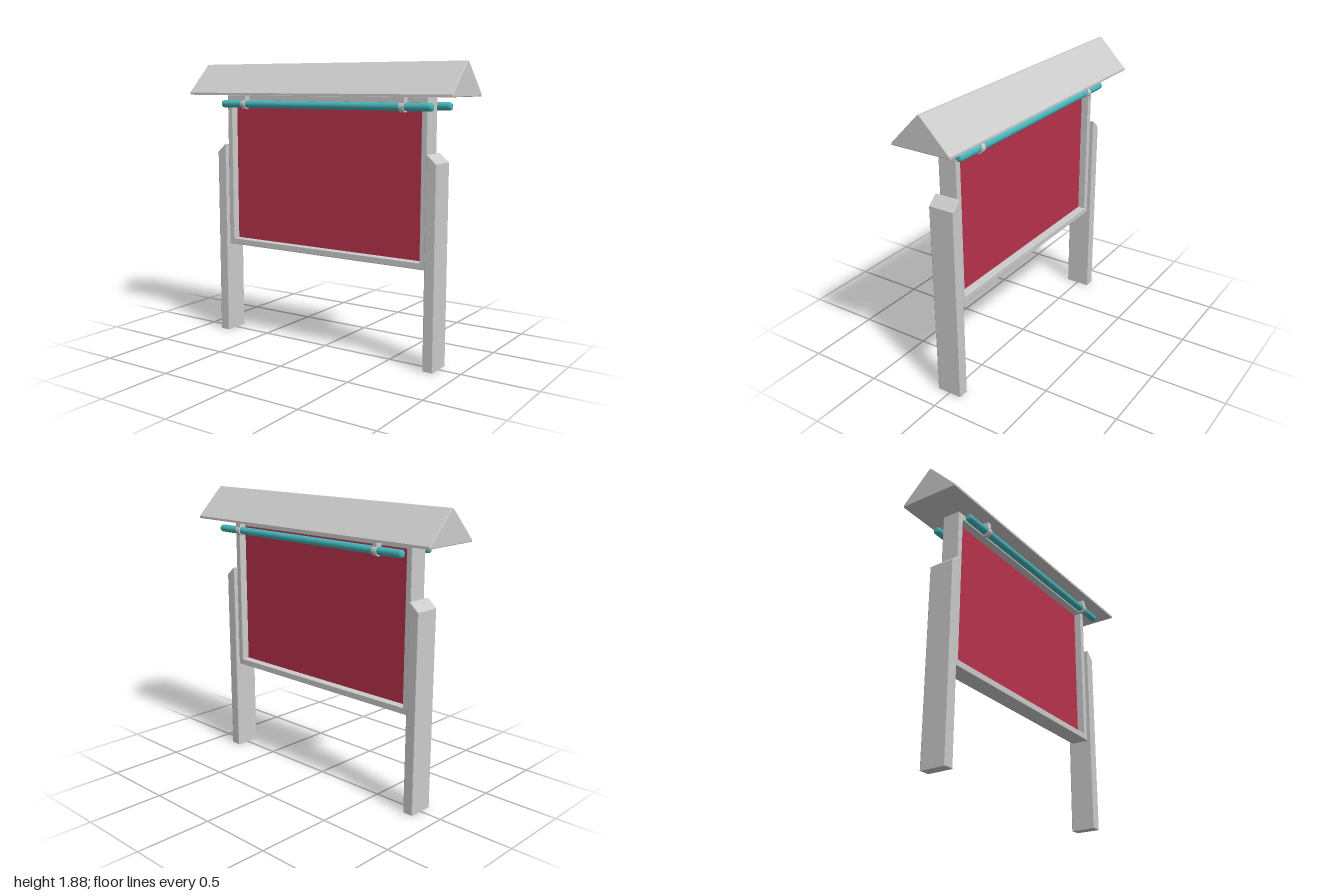
import * as THREE from 'three';

const grey = new THREE.MeshStandardMaterial({ color: 0xcccccc });
const red = new THREE.MeshStandardMaterial({ color: 0xb8324c });
const teal = new THREE.MeshStandardMaterial({ color: 0x45b5ba });

// Prism with finely bevelled edges, centred on z, keeping its outer size
function bevelledPrism(points, depth, bevel, hole) {
  const toVectors = (list) => list.map(([x, y]) => new THREE.Vector2(x, y));
  const shape = new THREE.Shape(toVectors(points));
  if (hole) shape.holes.push(new THREE.Path(toVectors(hole)));
  const geometry = new THREE.ExtrudeGeometry(shape, {
    depth: depth - 2 * bevel,
    bevelEnabled: true,
    bevelThickness: bevel,
    bevelSize: bevel,
    bevelOffset: -bevel,
    bevelSegments: 2,
  });
  return geometry.translate(0, 0, bevel - depth / 2);
}

const rectangle = (x, y0, y1) => [[-x, y0], [x, y0], [x, y1], [-x, y1]];

export function createModel() {
  const model = new THREE.Group();
  model.name = 'noticeBoard';

  const add = (name, geometry, material, x = 0, y = 0, z = 0, parent = model) => {
    const mesh = new THREE.Mesh(geometry, material);
    mesh.name = name;
    mesh.position.set(x, y, z);
    parent.add(mesh);
    return mesh;
  };

  // Gabled roof running along x
  const gable = [[-0.2, 1.677], [0.2, 1.677], [0.2, 1.692], [0.008, 1.885], [-0.008, 1.885], [-0.2, 1.692]];
  add('roof', bevelledPrism(gable, 2, 0.005).rotateY(Math.PI / 2), grey);

  // Board frame and the recessed panel
  add('frame', bevelledPrism(rectangle(0.775, 0.63, 1.677), 0.125, 0.004, rectangle(0.735, 0.672, 1.637).reverse()), grey);
  add('panel', new THREE.BoxGeometry(1.474, 0.97, 0.02), red, 0, 1.155, 0);

  // Posts with the outer top corner cut off
  for (const side of [1, -1]) {
    const outline = [[0.78, 0], [0.85, 0], [0.85, 1.282], [0.79, 1.335], [0.78, 1.335]].map(([x, y]) => [side * x, y]);
    if (side < 0) outline.reverse();
    add(side > 0 ? 'leftPost' : 'rightPost', bevelledPrism(outline, 0.172, 0.004), grey);
  }

  // Lamp tubes with rounded ends, hung from the roof by two brackets each
  const half = 0.802, radius = 0.025, round = 0.015;
  const profile = [new THREE.Vector2(0, -half)];
  for (const end of [-1, 1]) {
    for (let i = 0; i <= 4; i++) {
      const a = ((end < 0 ? i : 4 - i) / 4) * Math.PI / 2;
      profile.push(new THREE.Vector2(radius - round + round * Math.sin(a), end * (half - round + round * Math.cos(a))));
    }
  }
  profile.push(new THREE.Vector2(0, half));
  const tubeGeometry = new THREE.LatheGeometry(profile, 24).rotateZ(Math.PI / 2);
  const ringGeometry = new THREE.CylinderGeometry(0.033, 0.033, 0.032, 24).rotateZ(Math.PI / 2);
  const stemGeometry = new THREE.BoxGeometry(0.032, 0.07, 0.045);

  for (const [name, z] of [['frontLamp', 0.123], ['backLamp', -0.129]]) {
    const lamp = new THREE.Group();
    lamp.name = name;
    lamp.position.set(0.038, 1.617, z);
    model.add(lamp);
    add('lampTube', tubeGeometry, teal, 0, 0, 0, lamp);
    for (const x of [-0.605, 0.605]) {
      add('bracketRing', ringGeometry, grey, x, 0, 0, lamp);
      add('bracketStem', stemGeometry, grey, x, 0.035, 0, lamp);
    }
  }

  return model;
}
